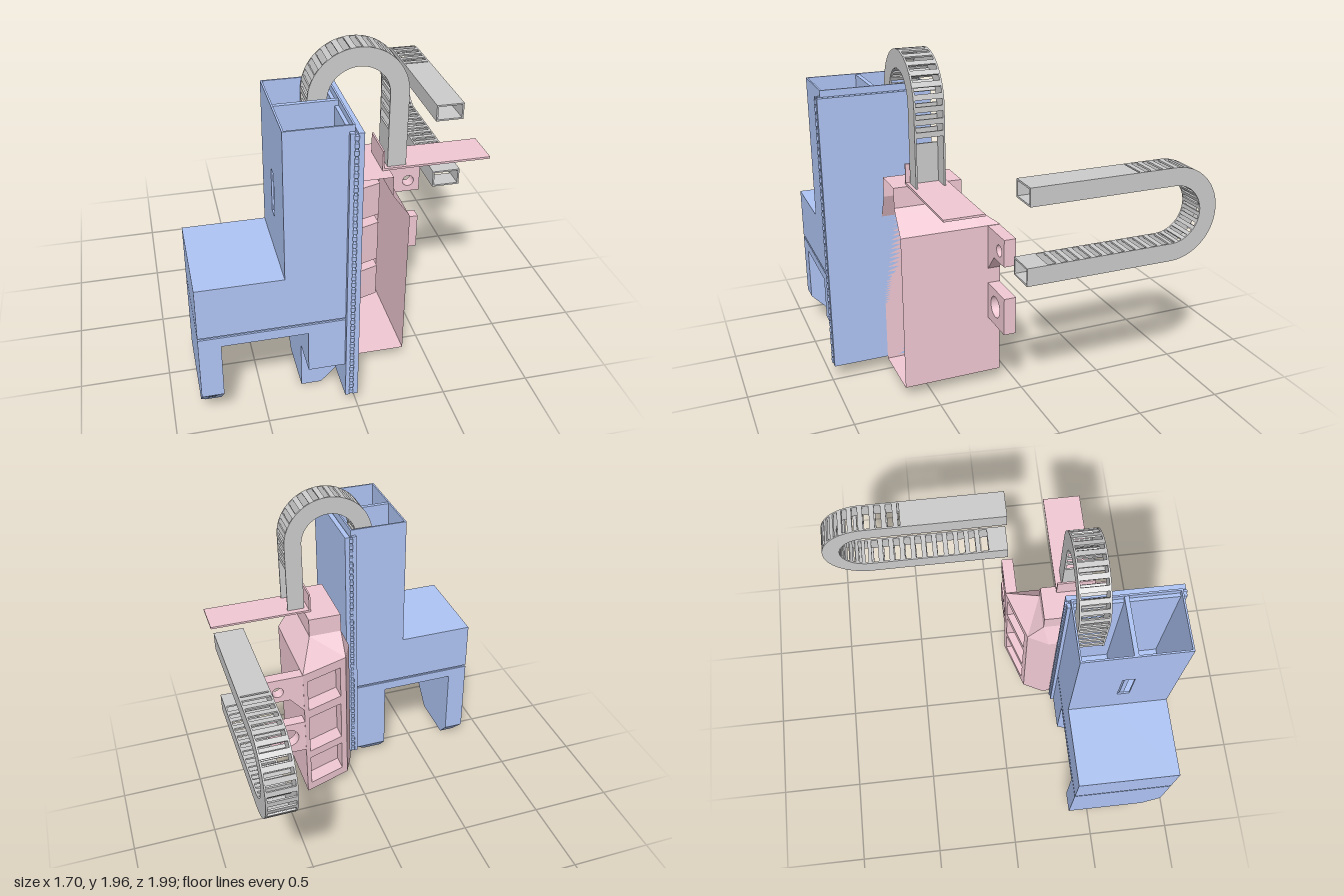
import * as THREE from 'three';
import { mergeGeometries } from 'three/addons/utils/BufferGeometryUtils.js';
import { ConvexGeometry } from 'three/addons/geometries/ConvexGeometry.js';

const mat = (color) => new THREE.MeshStandardMaterial({ color, side: THREE.DoubleSide });
const blue = mat(0xaec4f4), pink = mat(0xf0c8d3), grey = mat(0xcccccc), dark = mat(0x4a5566);
const V = (x, y, z) => new THREE.Vector3(x, y, z);

function add(parent, name, geometry, material) {
  const mesh = new THREE.Mesh(geometry, material);
  mesh.name = name;
  parent.add(mesh);
  return mesh;
}

// Box given by its limits on each axis
function box(x0, x1, y0, y1, z0, z1) {
  return new THREE.BoxGeometry(x1 - x0, y1 - y0, z1 - z0)
    .translate((x0 + x1) / 2, (y0 + y1) / 2, (z0 + z1) / 2);
}

function polygon(points) {
  return new THREE.Shape(points.map(([x, y]) => new THREE.Vector2(x, y)));
}
const rect = (x0, x1, y0, y1) => polygon([[x0, y0], [x1, y0], [x1, y1], [x0, y1]]);

function extrude(shape, depth) {
  return new THREE.ExtrudeGeometry(shape, { depth, bevelEnabled: false, curveSegments: 24 });
}

// Flat-shaded strip of quads between two rows of points
function sheet(a, b) {
  const pts = [];
  for (let i = 0; i < a.length - 1; i++) {
    pts.push(a[i], a[i + 1], b[i + 1], a[i], b[i + 1], b[i]);
  }
  const g = new THREE.BufferGeometry().setFromPoints(pts);
  g.computeVertexNormals();
  return g;
}

// U-shaped cable chain: arc over the top, legs hanging to -x (length a) and +x (length b)
function cableChain(name, a, b, coverA, coverB, outerCover) {
  const group = new THREE.Group();
  group.name = name;
  const R = 0.27, r = 0.167, w = 0.168, t = 0.01, pitch = 0.068;
  const band = new THREE.Shape();
  band.moveTo(R, -b);
  band.lineTo(R, 0);
  band.absarc(0, 0, R, 0, Math.PI, false);
  band.lineTo(-R, -a);
  band.lineTo(-r, -a);
  band.lineTo(-r, 0);
  band.absarc(0, 0, r, Math.PI, 0, true);
  band.lineTo(r, -b);
  for (const z of [-w / 2, w / 2 - t]) {
    add(group, 'chainSide', extrude(band, t).translate(0, 0, z), grey);
  }
  const rungs = [];
  for (const radius of [R - t / 2, r + t / 2]) {
    const width = radius > 0.2 ? 0.03 : 0.022;
    const count = 13;
    for (let i = 0; i <= count; i++) {
      const angle = (i / count) * Math.PI;
      rungs.push(new THREE.BoxGeometry(t, width, w - t)
        .translate(radius, 0, 0).rotateZ(angle));
    }
    for (const [side, length, cover] of [[-1, a, coverA], [1, b, coverB]]) {
      for (let s = pitch; s < length - cover - 0.02; s += pitch) {
        rungs.push(new THREE.BoxGeometry(t, 0.03, w - t).translate(side * radius, -s, 0));
      }
      if (cover > 0 && (outerCover || radius < 0.2)) {
        rungs.push(new THREE.BoxGeometry(t, cover, w - t)
          .translate(side * radius, -length + cover / 2, 0));
      }
    }
  }
  add(group, 'chainRungs', mergeGeometries(rungs), grey);
  return group;
}

function createReceiver() {
  const g = new THREE.Group();
  g.name = 'receiver';
  add(g, 'upperBlock', box(-0.85, -0.045, 0.605, 0.905, 0.37, 0.96), blue);
  add(g, 'grooveCore', box(-0.84, -0.045, 0.585, 0.61, 0.38, 0.95), blue);
  add(g, 'basePlate', box(-0.85, -0.045, 0.535, 0.592, 0.37, 0.96), blue);

  // Open column with a divider
  add(g, 'columnFront', box(-0.39, -0.04, 0.905, 1.74, 0.95, 0.96), blue);
  add(g, 'columnBack', box(-0.39, -0.04, 0.905, 1.74, 0.37, 0.38), blue);
  add(g, 'columnInnerWall', box(-0.05, -0.04, 0.905, 1.74, 0.38, 0.95), blue);
  add(g, 'columnDivider', box(-0.38, -0.05, 0.905, 1.735, 0.65, 0.675), blue);
  const wall = rect(-0.95, -0.38, 0.905, 1.74);
  wall.holes.push(rect(-0.705, -0.635, 1.12, 1.37));
  add(g, 'columnSlottedWall', extrude(wall, 0.01).rotateY(Math.PI / 2).translate(-0.39, 0, 0), blue);

  // Tapered outer leg
  const outer = [];
  for (const x of [-0.85, -0.73]) {
    outer.push(V(x, 0.54, 0.37), V(x, 0.54, 0.96), V(x, 0.21, 0.96),
      V(x, 0.1, 0.37), V(x, 0.1, 0.855));
  }
  for (const z of [0.45, 0.76]) outer.push(V(-0.82, 0, z), V(-0.73, 0, z));
  outer.push(V(-0.847, 0.09, 0.37), V(-0.73, 0.09, 0.37));
  add(g, 'outerLeg', new ConvexGeometry(outer), blue);
  const hole = add(g, 'legHole', new THREE.CylinderGeometry(0.025, 0.025, 0.004, 24), dark);
  hole.position.set(-0.79, 0.155, 0.908);
  hole.rotation.x = -Math.PI / 4;

  // Inner leg, stepped at the front and chamfered at the foot
  add(g, 'innerLegTop', box(-0.27, -0.07, 0.285, 0.54, 0.37, 0.96), blue);
  const inner = [];
  for (const x of [-0.27, -0.07]) {
    for (const z of [0.37, 0.76]) inner.push(V(x, 0.285, z), V(x, 0.09, z));
  }
  for (const z of [0.45, 0.76]) inner.push(V(-0.27, 0, z), V(-0.155, 0, z));
  add(g, 'innerLegFoot', new ConvexGeometry(inner), blue);

  // Slide plates with a row of rollers along each edge
  add(g, 'fixedSlidePlate', box(-0.07, -0.045, 0.085, 1.705, 0.35, 0.985), blue);
  add(g, 'slideCore', box(-0.045, -0.03, 0.085, 1.69, 0.365, 0.97), blue);
  add(g, 'movingSlidePlate', box(-0.03, 0, 0.085, 1.705, 0.35, 0.985), blue);
  const rollers = [];
  for (const z of [0.353, 0.982]) {
    for (let i = 0; i < 40; i++) {
      rollers.push(new THREE.CylinderGeometry(0.012, 0.012, 0.025, 10)
        .translate(-0.0375, 0.11 + i * 0.0403, z));
    }
  }
  add(g, 'slideRollers', mergeGeometries(rollers), blue);
  return g;
}

function createCarriage() {
  const g = new THREE.Group();
  g.name = 'carriage';
  const body = [[0, 0.66], [0, 0.3], [0.06, 0.18], [0.26, 0.113], [0.36, 0.08], [0.36, 0.2], [0.36, 0.66]];
  const neck = [[0.06, 0.66], [0.06, 0.27], [0.06, 0.27], [0.26, 0.27], [0.26, 0.27], [0.26, 0.27], [0.26, 0.66]];
  const at = (ring, y) => ring.map(([x, z]) => V(x, y, z));

  // Shell, open at the front
  const left = body.slice(0, 3), right = body.slice(4);
  add(g, 'leftWall', sheet(at(left, 0.07), at(left, 0.99)), pink);
  add(g, 'rightWall', sheet(at(right, 0.07), at(right, 0.99)), pink);
  add(g, 'shoulder', sheet(at(body, 0.99), at(neck, 1.13)), pink);
  add(g, 'neck', sheet(at(neck, 1.13), at(neck, 1.245)), pink);
  const flat = (ring, y) => new THREE.ShapeGeometry(polygon(ring)).rotateX(Math.PI / 2).translate(0, y, 0);
  add(g, 'floor', flat(body, 0.07), pink);
  add(g, 'neckTop', flat([neck[0], neck[1], neck[3], neck[6]], 1.245), pink);

  // Slanted back wall with three recessed pockets
  const wallZ = (x) => 0.18 - (x - 0.06) / 3;
  const wall = rect(0.06, 0.36, 0.07, 0.99);
  for (const [y0, y1] of [[0.125, 0.335], [0.39, 0.655], [0.715, 0.93]]) {
    wall.holes.push(rect(0.1, 0.33, y0, y1));
    const corners = [[0.1, y0], [0.33, y0], [0.33, y1], [0.1, y1], [0.1, y0]];
    const rim = corners.map(([x, y]) => V(x, y, wallZ(x)));
    const deep = rim.map((p) => V(p.x, p.y, p.z + 0.1));
    add(g, 'pocketSides', sheet(rim, deep), pink);
    add(g, 'pocketFloor', sheet([deep[0], deep[1]], [deep[3], deep[2]]), pink);
  }
  const back = new THREE.ShapeGeometry(wall);
  const p = back.attributes.position;
  for (let i = 0; i < p.count; i++) p.setZ(i, wallZ(p.getX(i)));
  back.computeVertexNormals();
  add(g, 'backWall', back, pink);

  // Mounting lugs
  const lug = (name, outline, x, y, r) => {
    const shape = polygon(outline);
    shape.holes.push(new THREE.Path().absarc(x, y, r, 0, Math.PI * 2, true));
    add(g, name, extrude(shape, 0.07).translate(0, 0, 0.082), pink);
  };
  lug('upperLug', [[0.36, 0.73], [0.445, 0.83], [0.587, 0.83], [0.587, 0.988], [0.36, 0.988]], 0.517, 0.9, 0.034);
  lug('lowerLug', [[0.36, 0.42], [0.592, 0.42], [0.592, 0.64], [0.36, 0.64]], 0.465, 0.535, 0.062);

  // Angle bracket for the chains
  add(g, 'bracketPlate', box(0.22, 0.83, 1.245, 1.257, 0.36, 0.58), pink);
  add(g, 'bracketFlange', box(0.22, 0.23, 1.257, 1.362, 0.36, 0.58), pink);
  return g;
}

export function createModel() {
  const model = new THREE.Group();
  model.name = 'model';
  model.add(createReceiver(), createCarriage());

  const upright = cableChain('verticalChain', 0.3, 0.428, 0, 0.22, false);
  upright.position.set(0.085, 1.685, 0.478);

  // Lying chain: its arc points to the back
  const lying = cableChain('horizontalChain', 0.865, 0.855, 0.12, 0.625, true);
  lying.quaternion.setFromRotationMatrix(
    new THREE.Matrix4().makeBasis(V(0, 1, 0), V(0, 0, -1), V(-1, 0, 0)));
  lying.position.set(0.764, 1.096, -0.73);
  model.add(upright, lying);
  return model;
}
